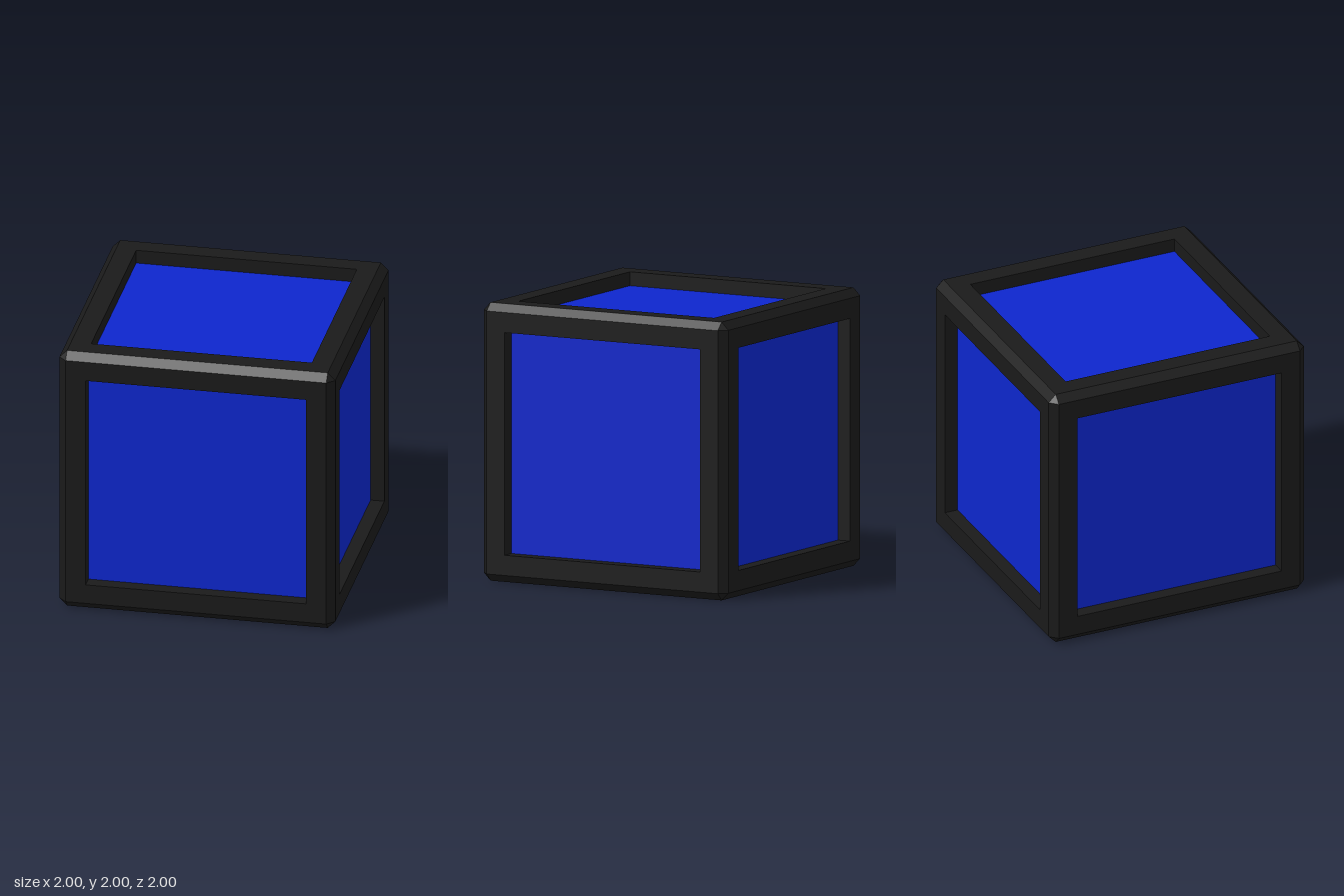
import * as THREE from 'three';

const BEVEL = 0.945;  // where the flat rim ends and the chamfer starts
const INNER = 0.8;    // half width of each window
const FLOOR = 0.9;    // distance of the sunken panels from the centre

// Flat-shaded geometry from triangles and quads, corners counter-clockwise
function facets(polygons) {
  const pos = [];
  for (const p of polygons) {
    for (let i = 1; i < p.length - 1; i++) {
      for (const v of [p[0], p[i], p[i + 1]]) pos.push(v.x, v.y, v.z);
    }
  }
  const geo = new THREE.BufferGeometry();
  geo.setAttribute('position', new THREE.Float32BufferAttribute(pos, 3));
  geo.computeVertexNormals();
  return geo;
}

export function createModel() {
  const model = new THREE.Group();
  model.name = 'framedCube';
  const frameMat = new THREE.MeshStandardMaterial({ color: 0x1a1a1a, flatShading: true });
  const panelMat = new THREE.MeshStandardMaterial({ color: 0x0d26cc });

  // Each face is made facing +z, then turned into place
  const h = Math.PI / 2;
  const faces = [
    ['front', 0, 0], ['left', 0, h], ['back', 0, 2 * h], ['right', 0, 3 * h],
    ['top', -h, 0], ['bottom', h, 0],
  ];
  const a = BEVEL, i = INNER, d = FLOOR;

  // One side of a face, at +x
  const rim = [[i, -i, 1], [a, -a, 1], [a, a, 1], [i, i, 1]];
  const wall = [[i, -i, d], [i, -i, 1], [i, i, 1], [i, i, d]];
  const chamfer = [[a, -a, 1], [1, -a, a], [1, a, a], [a, a, 1]];
  const corner = [[a, a, 1], [1, a, a], [a, 1, a]];

  const polygons = [];
  for (const [name, rx, ry] of faces) {
    const turn = new THREE.Matrix4().makeRotationFromEuler(new THREE.Euler(rx, ry, 0));
    const isCap = rx !== 0;
    for (let k = 0; k < 4; k++) {
      const m = turn.clone().multiply(new THREE.Matrix4().makeRotationZ(k * h));
      const parts = [rim, wall];
      // Top and bottom carry their four chamfers and corners, side faces one upright
      if (isCap) parts.push(chamfer, corner);
      else if (k === 0) parts.push(chamfer);
      for (const p of parts) {
        polygons.push(p.map((c) => new THREE.Vector3(...c).applyMatrix4(m)));
      }
    }

    // Sunken panel
    const panel = new THREE.Mesh(
      new THREE.PlaneGeometry(2 * i, 2 * i).translate(0, 0, d).applyMatrix4(turn), panelMat);
    panel.name = name + 'Panel';
    panel.position.y = 1;
    model.add(panel);
  }

  // Chamfered frame
  const frame = new THREE.Mesh(facets(polygons), frameMat);
  frame.name = 'frame';
  frame.position.y = 1;
  model.add(frame);
  return model;
}
